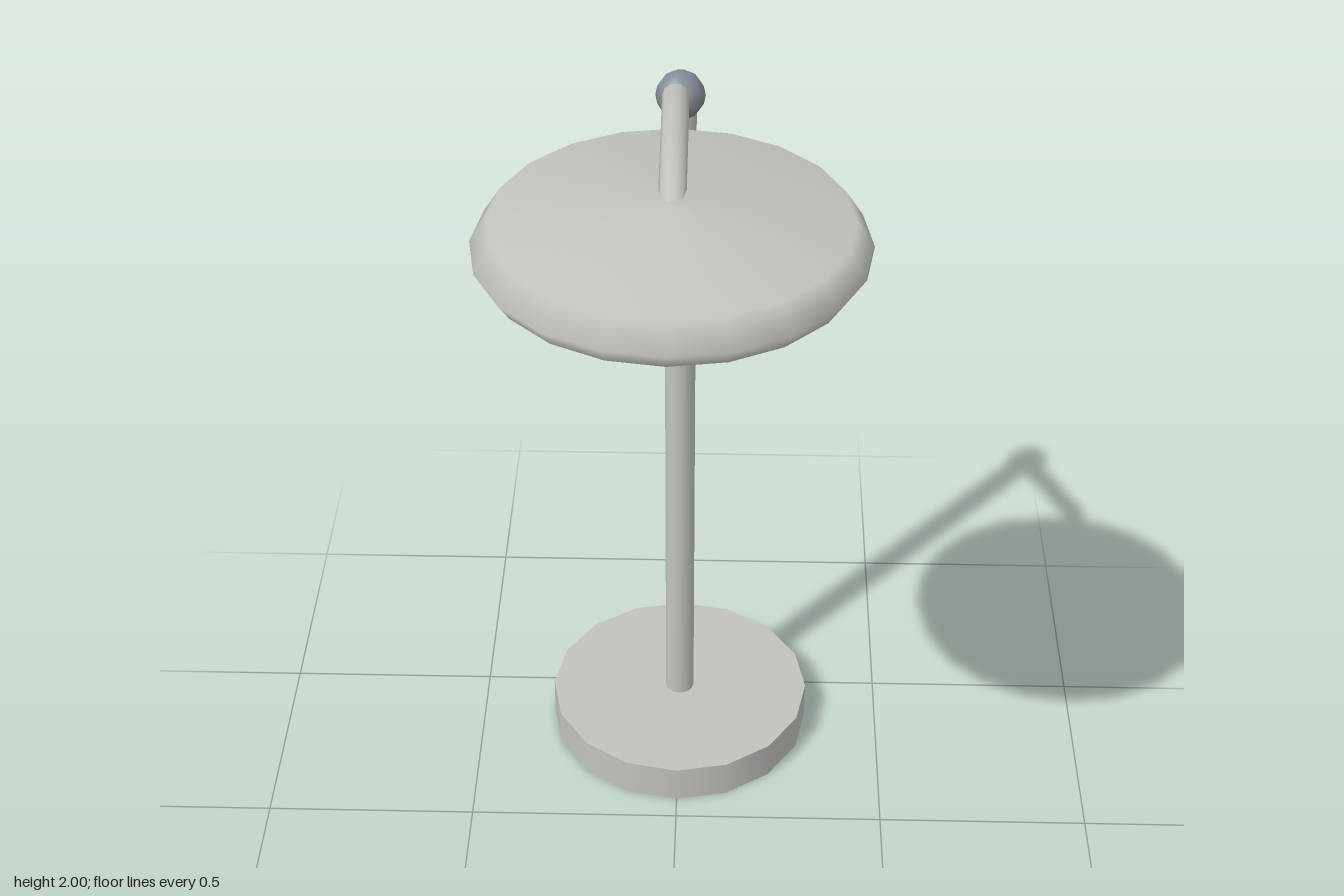
import * as THREE from 'three';

const BASE_Z = -0.38, HEAD_Z = 0.31;

// Bent rod: one mitred oval ring at each point of a path in the yz plane
function bentRod(path, halfWidth, halfHeight, sides) {
  const positions = [], index = [];
  path.forEach(([y, z, lean], i) => {
    for (let j = 0; j < sides; j++) {
      const a = (j / sides) * Math.PI * 2;
      const up = Math.sin(a) * halfHeight;
      positions.push(Math.cos(a) * halfWidth, y + up * Math.cos(lean), z - up * Math.sin(lean));
      if (i < path.length - 1) {
        const k = (j + 1) % sides, p = i * sides, q = p + sides;
        index.push(p + j, p + k, q + j, p + k, q + k, q + j);
      }
    }
  });
  const g = new THREE.BufferGeometry();
  g.setAttribute('position', new THREE.Float32BufferAttribute(positions, 3));
  g.setIndex(index);
  g.computeVertexNormals();
  return g;
}

export function createModel() {
  const lamp = new THREE.Group();
  lamp.name = 'deskLamp';
  const shell = new THREE.MeshStandardMaterial({ color: 0xc3c3bd });
  shell.name = 'pale grey metal';
  const steel = new THREE.MeshStandardMaterial({ color: 0x858c96 });
  steel.name = 'blue grey steel';

  const add = (parent, name, geometry, material, x, y, z) => {
    const mesh = new THREE.Mesh(geometry, material);
    mesh.name = name;
    mesh.position.set(x, y, z);
    parent.add(mesh);
    return mesh;
  };

  // Round foot and upright
  add(lamp, 'base', new THREE.CylinderGeometry(0.32, 0.32, 0.095, 16), shell, 0, 0.0475, BASE_Z);
  add(lamp, 'pole', new THREE.CylinderGeometry(0.035, 0.035, 1.68, 12), shell, 0, 0.93, BASE_Z);

  // Ball joint and elbowed arm
  add(lamp, 'ballJoint', new THREE.SphereGeometry(0.054, 10, 8), steel, 0, 1.775, BASE_Z);
  const arm = bentRod([[1.767, BASE_Z, 0.5], [1.978, 0, 0.1], [1.891, 0.3, -0.28]], 0.027, 0.022, 10);
  add(lamp, 'arm', arm, shell, 0, 0, 0);

  // Shallow dish head, with a flat underside
  const head = new THREE.Group();
  head.name = 'lampHead';
  head.position.set(0, 1.79, HEAD_Z);
  lamp.add(head);
  const profile = [[0.362, 0], [0.385, 0.035], [0.35, 0.09], [0, 0.123]]
    .map(([r, y]) => new THREE.Vector2(r, y));
  add(head, 'headShell', new THREE.LatheGeometry(profile, 20), shell, 0, 0, 0);
  const underside = new THREE.CircleGeometry(0.362, 20);
  underside.rotateX(Math.PI / 2);
  add(head, 'headUnderside', underside, shell, 0, 0, 0);

  // Light discs: one in the middle and a ring of six
  const disc = new THREE.CylinderGeometry(0.063, 0.063, 0.008, 16);
  add(head, 'lightDisc', disc, shell, 0, 0, 0);
  for (let i = 0; i < 6; i++) {
    const a = (i * Math.PI) / 3;
    add(head, 'lightDisc', disc, shell, 0.212 * Math.cos(a), 0, 0.212 * Math.sin(a));
  }
  return lamp;
}
